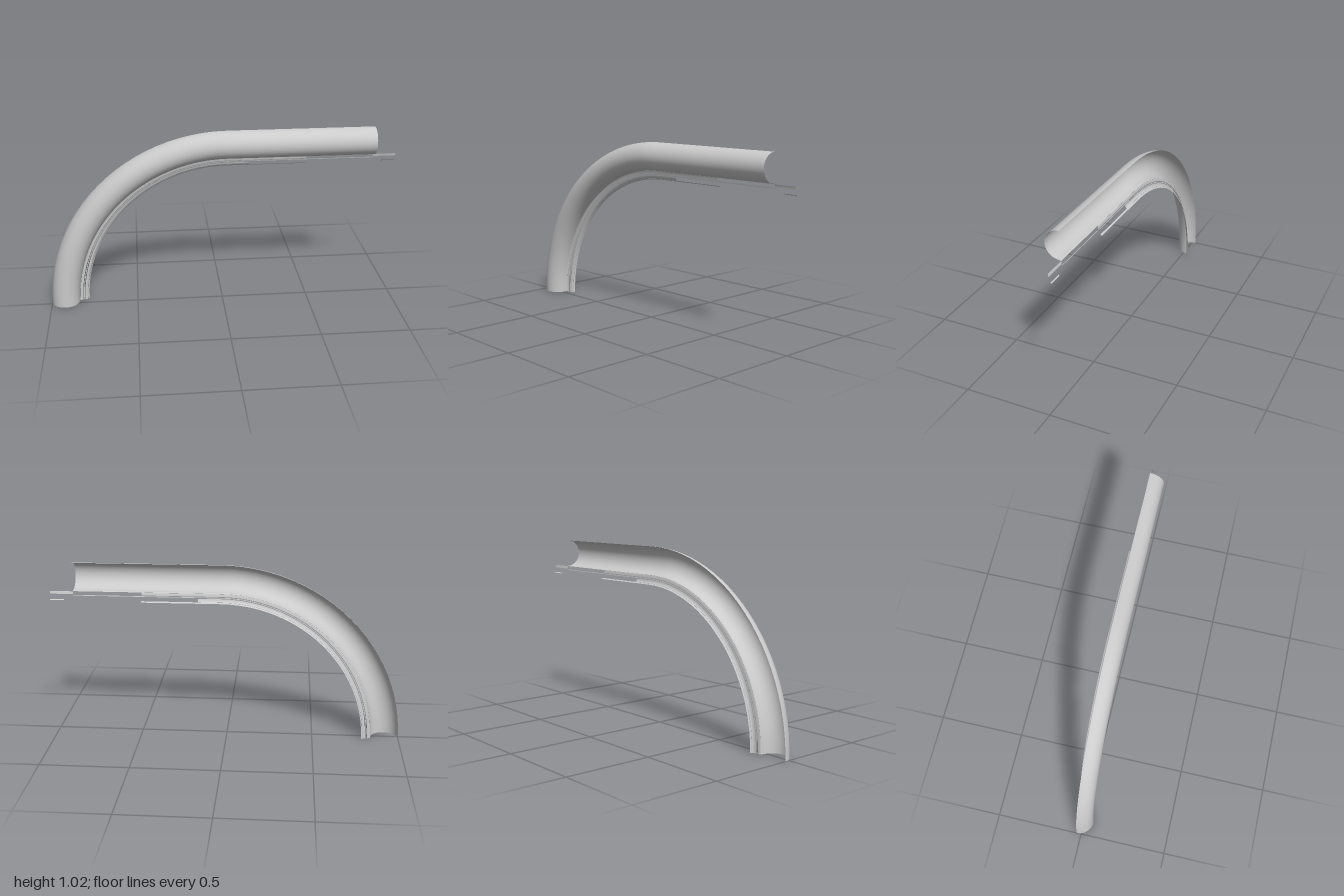
import * as THREE from 'three';

const BEND_X = 0.03;      // where the bend meets the straight run
const RX = 1.03, RY = 1.02; // outer radii of the bend
const BEND_STEPS = 24;

// Point on the path, d inwards from the outer edge.
function bendPoint(t, d, z) {
  const a = t * Math.PI / 2;
  return [BEND_X - (RX - d) * Math.cos(a), (RY - d) * Math.sin(a), z];
}

// Sweeps an open profile of [d, z] points round the bend and/or along the straight run.
function sweep(profile, endX, startX = null) {
  const rows = [];
  if (startX === null) {
    for (let i = 0; i <= BEND_STEPS; i++) rows.push(([d, z]) => bendPoint(i / BEND_STEPS, d, z));
  } else {
    rows.push(([d, z]) => [startX, RY - d, z]);
  }
  rows.push(([d, z]) => [endX, RY - d, z]);

  const n = profile.length, pos = [], index = [];
  rows.forEach((place, i) => {
    profile.forEach((p) => pos.push(...place(p)));
    if (i === 0) return;
    for (let j = 0; j < n - 1; j++) {
      const a = (i - 1) * n + j, b = a + n;
      index.push(a, b, a + 1, b, b + 1, a + 1);
    }
  });
  const g = new THREE.BufferGeometry();
  g.setAttribute('position', new THREE.Float32BufferAttribute(pos, 3));
  g.setIndex(index);
  g.computeVertexNormals();
  return g;
}

export function createModel() {
  const group = new THREE.Group();
  const material = new THREE.MeshStandardMaterial({ color: 0xcccccc, side: THREE.DoubleSide });
  const add = (name, geometry) => {
    const mesh = new THREE.Mesh(geometry, material);
    mesh.name = name;
    group.add(mesh);
  };

  // Half-round shell, open at the back
  const half = [];
  for (let i = 0; i <= 20; i++) {
    const a = i / 20 * Math.PI;
    half.push([0.08 - 0.08 * Math.cos(a), -0.026 + 0.081 * Math.sin(a)]);
  }
  add('halfPipeShell', sweep(half, 0.87));

  // Narrow lip turned back from the shell's inner edge
  add('shellLip', sweep([[0.16, -0.026], [0.163, -0.031]], 0.87));

  // Trim strips stepping inwards and back
  const upper = [[0.164, -0.031], [0.169, -0.033], [0.179, -0.035]];
  add('upperStrip', sweep(upper, 0.48));
  add('upperStripEnd', sweep(upper, 1.0, 0.87));

  add('middleStrip', sweep([[0.183, -0.036], [0.187, -0.037]], 0.87));

  add('lowerStrip', sweep([[0.191, -0.037], [0.199, -0.039], [0.205, -0.043], [0.208, -0.047]], 0.16));

  const edge = [[0.209, -0.047], [0.213, -0.05], [0.215, -0.055]];
  add('edgeStrip', sweep(edge, 0.48));
  add('edgeStripEnd', sweep([[0.207, -0.044], [0.212, -0.049]], 1.0, 0.92));

  return group;
}
